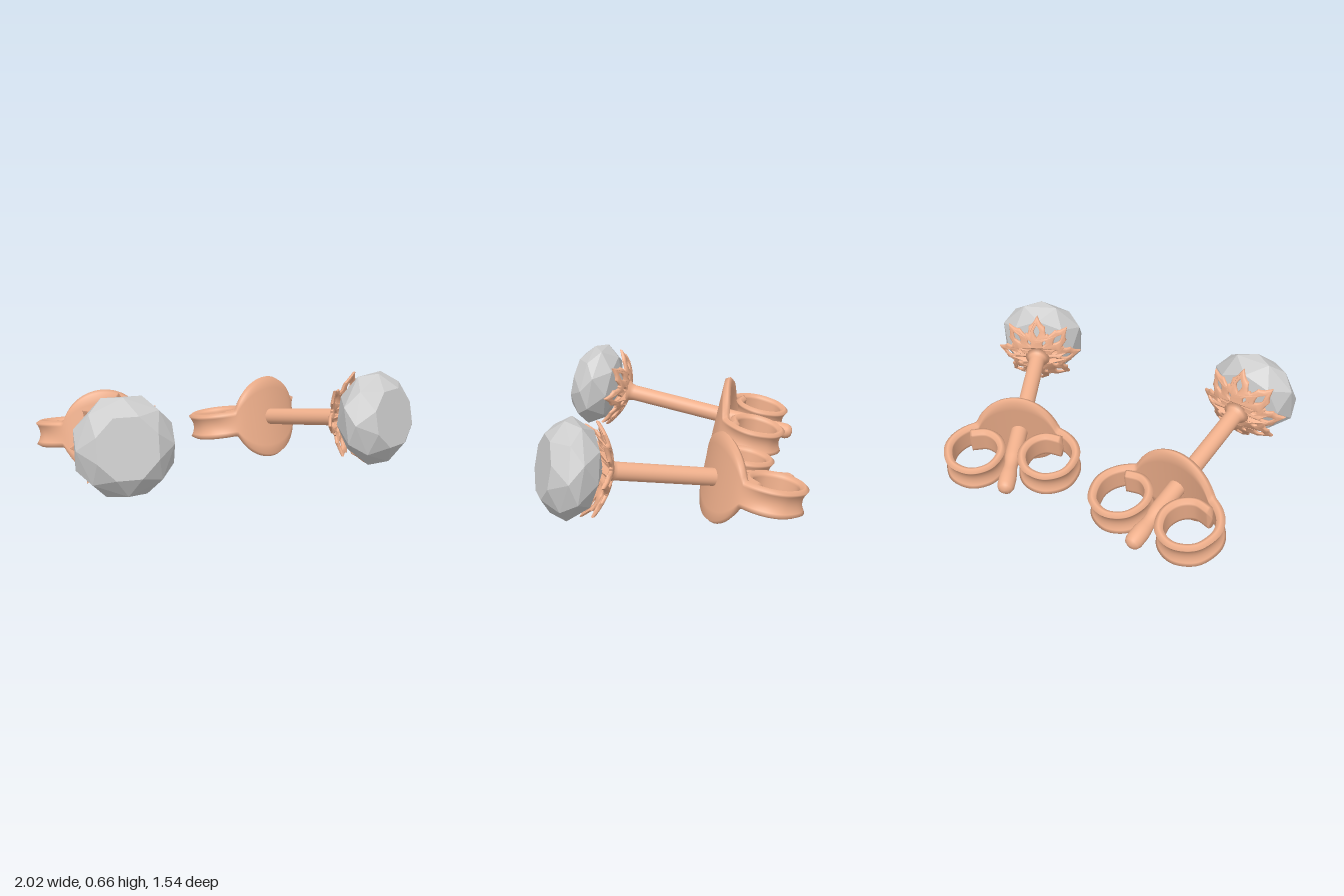
import * as THREE from 'three';
import { ConvexGeometry } from 'three/addons/geometries/ConvexGeometry.js';
import { toCreasedNormals } from 'three/addons/utils/BufferGeometryUtils.js';

const metal = new THREE.MeshStandardMaterial({ color: 0xf0b08c });
const stone = new THREE.MeshStandardMaterial({ color: 0xcccccc });

function part(name, geometry, material) {
  const mesh = new THREE.Mesh(geometry, material);
  mesh.name = name;
  return mesh;
}

const polar = (r, degrees) => {
  const a = THREE.MathUtils.degToRad(degrees);
  return new THREE.Vector2(r * Math.cos(a), r * Math.sin(a));
};

// Faceted stone: eight-fold rings of [radius, z, angle offset]
function gemGeometry() {
  const rings = [
    [0.163, 0.945, 22.5], // table
    [0.241, 0.872, 0],    // crown
    [0.262, 0.81, 22.5],  // girdle
    [0.205, 0.715, 0],    // pavilion
  ];
  const points = [new THREE.Vector3(0, 0, 0.635)];
  for (const [r, z, offset] of rings) {
    for (let k = 0; k < 8; k++) {
      const p = polar(r, offset + 45 * k);
      points.push(new THREE.Vector3(p.x, p.y, z));
    }
  }
  return new ConvexGeometry(points);
}

// Pierced eight-petal cup, bent into a shallow dome
function cupGeometry() {
  const outline = [];
  const holes = [];
  const petal = [[0, 0.252], [5, 0.222], [10, 0.208], [13, 0.205], [15, 0.185], [19, 0.165],
    [22.5, 0.172], [26, 0.165], [30, 0.185], [32, 0.205], [35, 0.208], [40, 0.222]];
  const petalHole = [[0, 0.218], [5, 0.195], [7.5, 0.178], [5, 0.155], [0, 0.138],
    [-5, 0.155], [-7.5, 0.178], [-5, 0.195]];
  const gapHole = [[22.5, 0.142], [28, 0.13], [29, 0.115], [22.5, 0.095], [16, 0.115], [17, 0.13]];
  for (let k = 0; k < 8; k++) {
    const turn = ([deg, r]) => polar(r, deg + 45 * k);
    outline.push(...petal.map(turn));
    holes.push(new THREE.Path(petalHole.map(turn)), new THREE.Path(gapHole.map(turn)));
  }
  const shape = new THREE.Shape(outline);
  shape.holes = holes;
  const geometry = new THREE.ExtrudeGeometry(shape, {
    depth: 0.006, bevelThickness: 0.008, bevelSize: 0.007, bevelOffset: -0.003, bevelSegments: 2,
  });
  const pos = geometry.attributes.position;
  for (let i = 0; i < pos.count; i++) {
    const r = Math.hypot(pos.getX(i), pos.getY(i));
    pos.setZ(i, pos.getZ(i) + 0.6 + 0.1 * (r / 0.25) ** 2);
  }
  return toCreasedNormals(geometry, 0.9);
}

// Round post with a notch near its tip
function postGeometry() {
  const profile = [[0, -0.467], [0.02, -0.464], [0.038, -0.452], [0.047, -0.43], [0.048, -0.37],
    [0.044, -0.335], [0.038, -0.305], [0.038, -0.27], [0.044, -0.24], [0.048, -0.2],
    [0.048, 0.57], [0.055, 0.595], [0.075, 0.612], [0, 0.625]];
  const geometry = new THREE.LatheGeometry(profile.map(([r, z]) => new THREE.Vector2(r, z)), 32);
  return geometry.rotateX(Math.PI / 2);
}

// Butterfly clip: one strip, wide in the middle, curled into a ring at both ends
function clipGeometry() {
  const half = [[0.12, -0.012], [0.22, -0.042], [0.3, -0.095], [0.346, -0.16], [0.358, -0.235],
    [0.312, -0.346], [0.202, -0.392], [0.1, -0.346], [0.058, -0.235], [0.09, -0.145],
    [0.165, -0.098], [0.27, -0.115]];
  const toPoint = ([x, z]) => new THREE.Vector3(x, 0, z);
  const path = new THREE.CatmullRomCurve3([
    ...half.map(([x, z]) => toPoint([-x, z])).reverse(),
    new THREE.Vector3(),
    ...half.map(toPoint),
  ]);
  path.arcLengthDivisions = 800;
  const steps = 240, row = 9, T = 0.023;
  const length = path.getLength();
  const positions = [], index = [];
  const count = 2 * row + 2;
  for (let i = 0; i <= steps; i++) {
    const u = i / steps;
    const c = path.getPointAt(u), t = path.getTangentAt(u);
    const s = Math.abs(u - 0.5) * length;
    // disc blending smoothly into a narrow band
    const disc = Math.sqrt(Math.max(0, 0.246 ** 2 - s * s));
    const h = Math.pow(disc ** 5 + 0.077 ** 5, 0.2);
    const groove = 0.022 * THREE.MathUtils.smoothstep(s, 0.2, 0.38);
    const section = [];
    for (let j = 0; j < row; j++) {
      const v = -1 + 2 * j / (row - 1);
      section.push([v * (h - 0.015), T - groove * (1 - v * v)]);
    }
    section.push([h, 0]);
    for (let j = 0; j < row; j++) section.push([(1 - 2 * j / (row - 1)) * (h - 0.015), -T]);
    section.push([-h, 0]);
    const scale = i === 0 || i === steps ? 0 : 1; // close the ends
    for (const [y, n] of section) {
      positions.push(c.x - t.z * n * scale, y * scale, c.z + t.x * n * scale);
    }
  }
  for (let i = 0; i < steps; i++) {
    for (let j = 0; j < count; j++) {
      const k = (j + 1) % count;
      const a = i * count + j, b = a + count, d = i * count + k, e = d + count;
      index.push(a, b, d, b, e, d);
    }
  }
  const geometry = new THREE.BufferGeometry();
  geometry.setAttribute('position', new THREE.Float32BufferAttribute(positions, 3));
  geometry.setIndex(index);
  geometry.computeVertexNormals();
  return geometry;
}

export function createModel() {
  const model = new THREE.Group();
  model.name = 'studEarrings';
  const gem = gemGeometry(), cup = cupGeometry(), post = postGeometry(), clip = clipGeometry();

  // Each earring lies along its own z axis, tipped up toward the stone
  const placements = [
    ['rightEarring', [-0.615, 0.26, -0.19], -0.208, 0],
    ['leftEarring', [0.4, 0.255, -0.29], -0.2, 0.51],
  ];
  for (const [name, position, pitch, yaw] of placements) {
    const earring = new THREE.Group();
    earring.name = name;
    earring.add(
      part('gemstone', gem, stone),
      part('filigreeCup', cup, metal),
      part('post', post, metal),
      part('butterflyClip', clip, metal),
    );
    earring.position.set(...position);
    earring.rotation.set(pitch, yaw, 0, 'YXZ');
    model.add(earring);
  }
  return model;
}
